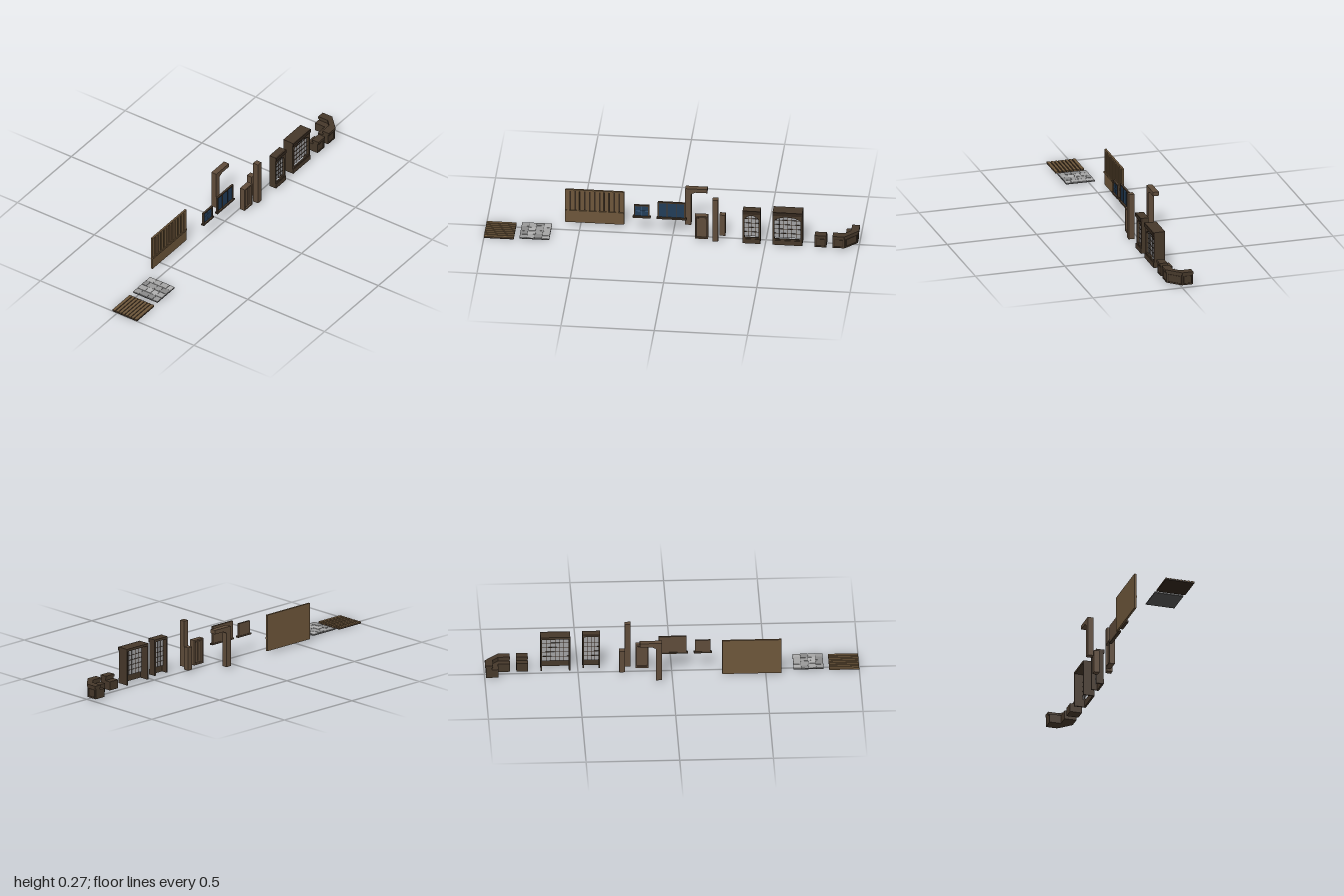
import * as THREE from 'three';

const mat = (c, side = THREE.FrontSide) => new THREE.MeshStandardMaterial({ color: c, side, flatShading: true });
const dark = mat(0x46382a), mid = mat(0x5f4c3a), light = mat(0x6d563a), shade = mat(0x33271d);
const glass = mat(0xa2a2a4, THREE.DoubleSide), blue = mat(0x223d58), pale = mat(0x3f6288);

function group(name, parent) {
  const g = new THREE.Group();
  g.name = name;
  parent.add(g);
  return g;
}

// Box given by its extents on each axis
function box(parent, name, m, x0, x1, y0, y1, z0, z1) {
  const b = new THREE.Mesh(new THREE.BoxGeometry(x1 - x0, y1 - y0, z1 - z0), m);
  b.position.set((x0 + x1) / 2, (y0 + y1) / 2, (z0 + z1) / 2);
  b.name = name;
  parent.add(b);
  return b;
}

// Extrudes a plan outline of [x, z] points from y0 to y1
function slab(parent, name, m, pts, y0, y1) {
  const s = new THREE.Shape(pts.map(([x, z]) => new THREE.Vector2(x, -z)));
  const geo = new THREE.ExtrudeGeometry(s, { depth: y1 - y0, bevelEnabled: false });
  geo.rotateX(-Math.PI / 2).translate(0, y0, 0);
  const b = new THREE.Mesh(geo, m);
  b.name = name;
  parent.add(b);
}

// Framed panel facing local +z, centred on x = 0
function panel(parent, w, y0, y1, f) {
  const g = group('framedPanel', parent), h = w / 2, d = 0.004;
  for (const s of [-1, 1]) {
    const x = s * (h - f / 2);
    box(g, 'stile', dark, x - f / 2, x + f / 2, y0, y1, 0, d);
  }
  box(g, 'bottomRail', dark, -h + f, h - f, y0, y0 + f, 0, d);
  box(g, 'topRail', dark, -h + f, h - f, y1 - f, y1, 0, d);
  box(g, 'recess', shade, -h + f, h - f, y0 + f, y1 - f, 0, 0.0008);
  box(g, 'raisedField', dark, -h + f * 1.5, h - f * 1.5, y0 + f * 1.5, y1 - f * 1.5, 0, 0.003);
  return g;
}

function floors(root) {
  const wood = group('plankFloor', root);
  box(wood, 'plankBase', shade, -1, -0.84, 0, 0.007, -0.031, 0.129);
  const n = 8, p = 0.16 / n;
  for (let i = 0; i < n; i++)
    box(wood, 'plank', light, -1, -0.84, 0.002, 0.0105, -0.031 + i * p + (i ? 0.003 : 0), -0.031 + (i + 1) * p - (i < n - 1 ? 0.003 : 0));

  const stone = group('stoneFloor', root);
  box(stone, 'mortar', mat(0x555555), -0.81, -0.65, 0.007, 0.013, -0.031, 0.129);
  const greys = [0x9a9a9a, 0xb0b0b0, 0x8a8a8a, 0xa5a5a5].map(c => mat(c));
  const cols = [[0, 0.04, 0.09, 0.125, 0.16], [0, 0.05, 0.085, 0.12, 0.16], [0, 0.03, 0.08, 0.115, 0.16], [0, 0.045, 0.085, 0.13, 0.16]];
  cols.forEach((cuts, i) => {
    for (let j = 0; j < 4; j++)
      box(stone, 'flagstone', greys[(i * 3 + j * j + j) % 4], -0.809 + i * 0.04, -0.771 + i * 0.04,
        0.010, 0.0145 + ((i + j) % 3) * 0.0005, -0.03 + cuts[j], -0.032 + cuts[j + 1]);
  });
}

function wall(root) {
  const g = group('panelledWall', root), x0 = -0.583, x1 = -0.267;
  box(g, 'wallBack', light, x0, x1, 0.012, 0.213, -0.073, -0.068);
  box(g, 'darkBoard', shade, x0 + 0.002, x1 - 0.002, 0.08, 0.21, -0.068, -0.0675);
  box(g, 'wainscot', light, x0, x1, 0.012, 0.078, -0.068, -0.062);
  box(g, 'chairRail', light, x0, x1, 0.078, 0.087, -0.068, -0.058);
  box(g, 'topRail', light, x0, x1, 0.205, 0.213, -0.068, -0.062);
  const n = 12, p = (x1 - x0) / n;
  for (let i = 0; i < n; i++)
    box(g, 'batten', light, x0 + i * p + (i ? 0.004 : 0), x0 + (i + 1) * p - (i < n - 1 ? 0.004 : 0), 0.087, 0.205, -0.068, -0.062);
}

function windowUnit(root, name, x0, x1, y1, bars) {
  const g = group(name, root), y0 = 0.106, f = 0.007, c = (x0 + x1) / 2, h = (y0 + y1) / 2;
  box(g, 'backBoard', mid, x0, x1, y0, y1, -0.002, 0.002);
  box(g, 'glass', blue, x0 + f, x1 - f, y0 + f, y1 - f, 0.002, 0.004);
  for (const [a, b] of [[x0, x0 + f], [x1 - f, x1]]) box(g, 'jamb', dark, a, b, y0, y1, 0, 0.009);
  box(g, 'head', dark, x0 + f, x1 - f, y1 - f, y1, 0, 0.009);
  box(g, 'sill', dark, x0 - 0.006, x1 + 0.006, y0 - 0.003, y0 + 0.006, -0.004, 0.013);
  for (let i = 1; i <= bars; i++) {
    const x = x0 + (x1 - x0) * i / (bars + 1);
    box(g, 'mullion', bars === 1 ? pale : dark, x - 0.002, x + 0.002, y0 + f, y1 - f, 0.004, 0.007);
  }
  if (bars === 1) box(g, 'crossBar', pale, x0 + f, x1 - f, h - 0.002, h + 0.002, 0.004, 0.0065);
}

function posts(root) {
  // Post with a bracketed beam
  const g = group('bracketPost', root);
  const s = new THREE.Shape();
  [[0.057, 0.012], [0.089, 0.012], [0.089, 0.202], [0.112, 0.213], [0.175, 0.213], [0.175, 0.235], [0.057, 0.235]]
    .forEach(([x, y], i) => (i ? s.lineTo(x, y) : s.moveTo(x, y)));
  const m = new THREE.Mesh(new THREE.ExtrudeGeometry(s, { depth: 0.032, bevelEnabled: false }), mid);
  m.position.z = -0.128;
  m.name = 'postAndBeam';
  g.add(m);
  const p = group('plainPosts', root);
  box(p, 'tallPost', mid, 0.218, 0.249, 0.012, 0.267, 0.032, 0.063);
  box(p, 'shortPost', mid, 0.25, 0.281, 0.012, 0.139, -0.031, 0);

  // Hollow panelled door, open behind
  const d = group('cupboardDoor', root), x0 = 0.122, x1 = 0.192, y0 = 0.012, y1 = 0.151;
  for (const [a, b] of [[x0, x0 + 0.008], [x1 - 0.008, x1]]) box(d, 'side', mid, a, b, y0, y1, 0.013, 0.044);
  box(d, 'top', mid, x0 + 0.008, x1 - 0.008, y1 - 0.008, y1, 0.013, 0.044);
  box(d, 'bottom', mid, x0 + 0.008, x1 - 0.008, y0, y0 + 0.008, 0.013, 0.044);
  box(d, 'leaf', mid, x0 + 0.008, x1 - 0.008, y0 + 0.008, y1 - 0.008, 0.027, 0.035);
  for (const c of [0.144, 0.17])
    for (const z of [0.025, 0.035]) box(d, 'leafPanel', mid, c - 0.009, c + 0.009, y0 + 0.017, y1 - 0.017, z, z + 0.002);
}

// Glazed display cabinet with an arched front, open behind
function cabinet(root, name, x0, x1, z0, nx) {
  const g = group(name, root), y0 = 0.012, t = 0.008, zf = 0.063, c = (x0 + x1) / 2;
  for (const [a, b] of [[x0, x0 + t], [x1 - t, x1]]) box(g, 'side', dark, a, b, y0, 0.2, z0, zf - 0.007);
  box(g, 'top', dark, x0, x1, 0.2, 0.213, z0, zf);
  box(g, 'cornice', shade, x0 - 0.001, x1 + 0.001, 0.193, 0.213, zf - 0.004, 0.069);
  const l = x0 + 0.01, r = x1 - 0.01, b = 0.048, spring = 0.158, s = new THREE.Shape(), hole = new THREE.Path();
  s.moveTo(x0, y0).lineTo(x1, y0).lineTo(x1, 0.2).lineTo(x0, 0.2);
  hole.moveTo(l, b).lineTo(l, spring).quadraticCurveTo(l + 0.012, 0.181, c, 0.182)
    .quadraticCurveTo(r - 0.012, 0.181, r, spring).lineTo(r, b);
  s.holes.push(hole);
  const front = new THREE.Mesh(new THREE.ExtrudeGeometry(s, { depth: 0.007, bevelEnabled: false, curveSegments: 6 }), dark);
  front.position.z = zf - 0.007;
  front.name = 'archedFront';
  g.add(front);
  box(g, 'plinth', dark, x0, x1, y0, 0.04, zf, zf + 0.003);
  const pane = new THREE.Mesh(new THREE.PlaneGeometry(x1 - x0 - 2 * t, 0.152), glass);
  pane.position.set(c, 0.124, 0.048);
  pane.name = 'glass';
  g.add(pane);
  for (let i = 1; i < nx; i++) {
    const x = l + (r - l) * i / nx;
    box(g, 'glazingBar', shade, x - 0.0012, x + 0.0012, b, 0.2, 0.046, 0.05);
  }
  for (let j = 1; j < 5; j++) {
    const y = b + 0.027 * j;
    box(g, 'glazingBar', shade, x0 + t, x1 - t, y - 0.0012, y + 0.0012, 0.046, 0.0505);
  }
}

function counters(root) {
  const y0 = 0.012, layers = [
    ['workShelf', dark, 0.001, 0.035, y0, 0.06],
    ['frontBody', dark, 0.035, 0.063, y0, 0.071],
    ['barTop', dark, 0.03, 0.072, 0.071, 0.085],
  ];
  const a = group('straightCounter', root), x0 = 0.767, x1 = 0.829;
  for (const [n, m, i, o, b, t] of layers) box(a, n, m, x0, x1, b, t, i, o);
  panel(a, x1 - x0, y0, 0.071, 0.007).position.set((x0 + x1) / 2, 0, 0.063);

  // Corner counter: two straight runs joined by a diagonal face
  const g = group('cornerCounter', root), xs = 0.863, k = 0.926, ze = -0.062;
  const line = o => [[xs, o], [k, o], [k + o, 0], [k + o, ze]];
  for (const [n, m, i, o, b, t] of layers) slab(g, n, m, [...line(o), ...line(i).reverse()], b, t);
  panel(g, k - xs, y0, 0.071, 0.007).position.set((xs + k) / 2, 0, 0.063);
  const diag = panel(g, 0.063 * Math.SQRT2, y0, 0.071, 0.007);
  diag.position.set(k + 0.0315, 0, 0.0315);
  diag.rotation.y = Math.PI / 4;
  const end = panel(g, -ze, y0, 0.071, 0.007);
  end.position.set(k + 0.063, 0, ze / 2);
  end.rotation.y = Math.PI / 2;
}

export function createModel() {
  const root = new THREE.Group();
  root.name = 'tavernParts';
  floors(root);
  wall(root);
  windowUnit(root, 'smallWindow', -0.208, -0.124, 0.18, 1);
  windowUnit(root, 'largeWindow', -0.08, 0.069, 0.206, 2);
  posts(root);
  cabinet(root, 'narrowCabinet', 0.381, 0.475, 0.023, 4);
  cabinet(root, 'wideCabinet', 0.541, 0.7, 0.002, 6);
  counters(root);
  return root;
}
